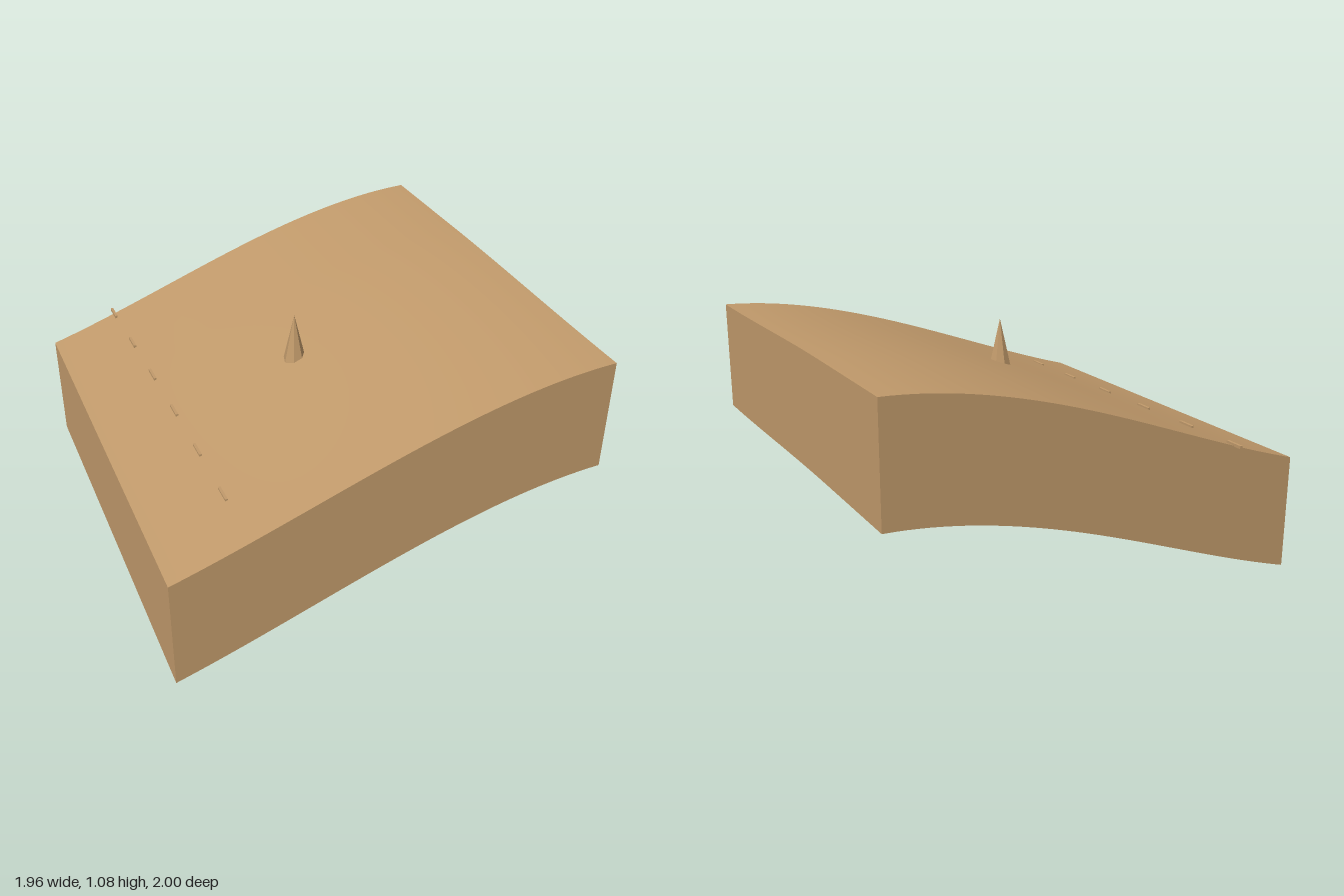
import * as THREE from 'three';

const X = 0.98, Z0 = -0.96, Z1 = 1.0, SKIRT = 0.523, N = 40;

// Height of the hillside: an S-shaped slope along x with a gentle swell along z
function height(x, z) {
  const slope = 0.341 + 0.335 * x - 0.0685 * x * x - 0.0625 * x ** 3;
  const t = THREE.MathUtils.clamp((Z1 - z) / (Z1 - Z0), 0, 1);
  const east = THREE.MathUtils.smoothstep(x, -X, 0.3);
  const lift = 0.014 * t * (1 - east) + 0.022 * THREE.MathUtils.smoothstep(t, 0, 0.7) * east;
  return SKIRT + slope + lift;
}

// Grid surface from a rule (u, v) -> [x, y, z], with u and v from 0 to 1
function surface(rule, nu, nv) {
  const geo = new THREE.PlaneGeometry(1, 1, nu, nv);
  const p = geo.attributes.position;
  for (let i = 0; i < p.count; i++) p.setXYZ(i, ...rule(p.getX(i) + 0.5, p.getY(i) + 0.5));
  geo.computeVertexNormals();
  return geo;
}

export function createModel() {
  const group = new THREE.Group();
  const sand = new THREE.MeshStandardMaterial({ color: 0xc19a6b, side: THREE.DoubleSide });
  sand.name = 'sand';
  const stone = new THREE.MeshStandardMaterial({ color: 0xc19a6b, flatShading: true });
  stone.name = 'sandstone';

  const add = (name, geo, mat) => {
    const mesh = new THREE.Mesh(geo, mat);
    mesh.name = name;
    group.add(mesh);
    return mesh;
  };

  // Sloping ground
  const lerp = THREE.MathUtils.lerp;
  add('ground', surface((u, v) => {
    const x = lerp(-X, X, u), z = lerp(Z1, Z0, v);
    return [x, height(x, z), z];
  }, N, N), sand);

  // Four skirt walls that follow the ground edge; the underside stays open
  const walls = {
    frontWall: [-X, Z1, X, Z1],
    rightWall: [X, Z1, X, Z0],
    backWall: [X, Z0, -X, Z0],
    leftWall: [-X, Z0, -X, Z1],
  };
  for (const [name, [xa, za, xb, zb]] of Object.entries(walls)) {
    add(name, surface((u, v) => {
      const x = lerp(xa, xb, u), z = lerp(za, zb, u);
      return [x, height(x, z) - SKIRT * (1 - v), z];
    }, N, 1), sand);
  }

  // Pointed rock spire
  const spire = add('spire', new THREE.ConeGeometry(0.052, 0.23, 7), stone);
  spire.position.set(-0.085, 0.945, 0.1);
  spire.rotation.y = Math.PI;

  // Row of thin dashes across the slope, slightly sunk in the ground
  for (let i = 0; i < 6; i++) {
    const z = -0.955 + i * 0.326;
    const x = -0.66 + 0.021 * (1 - (1 - i / 5) ** 2);
    const dash = add('dash', new THREE.BoxGeometry(0.012, 0.014, 0.09), stone);
    dash.position.set(x, height(x, z) + 0.005 - 0.001 * i, z);
  }
  return group;
}
